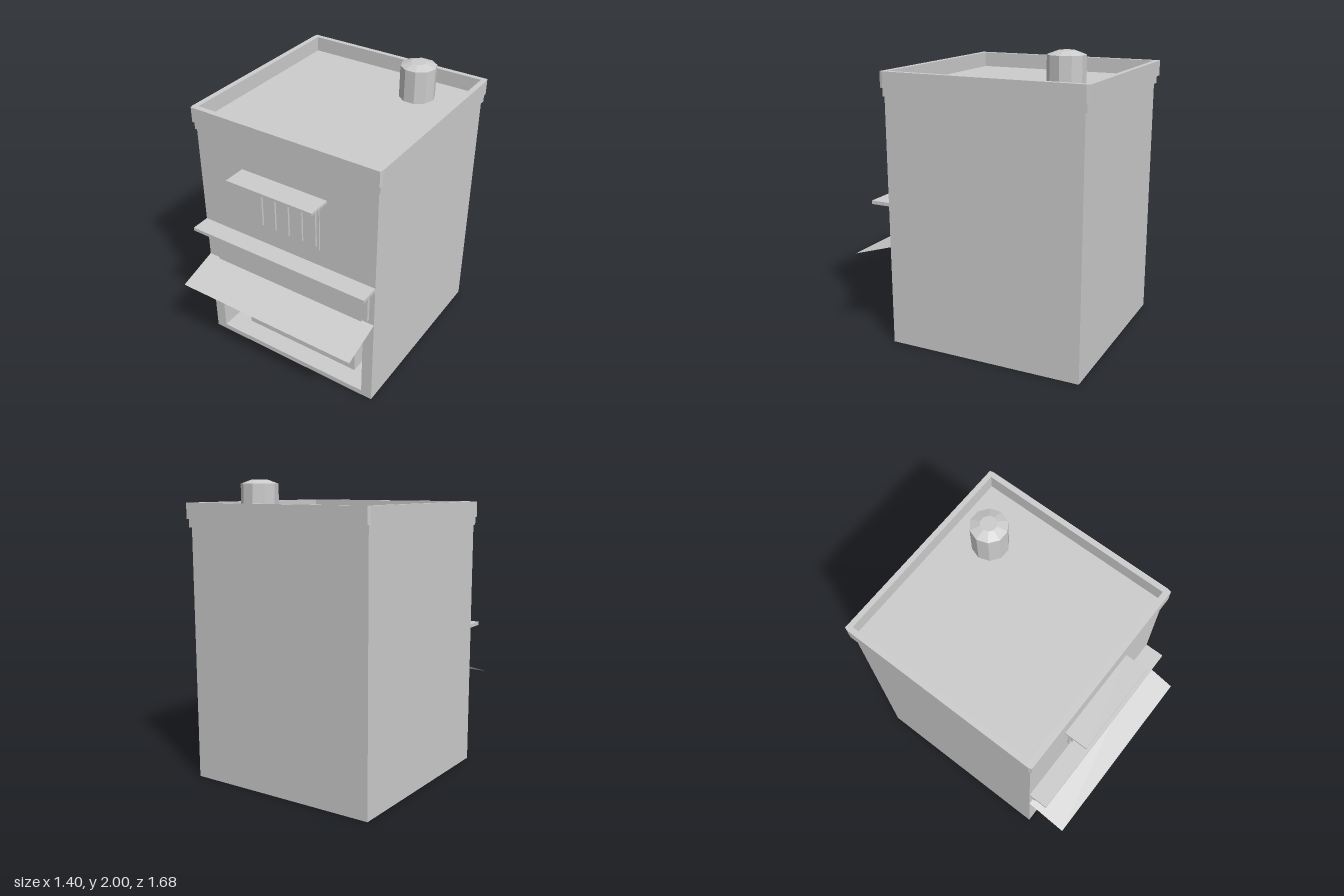
import * as THREE from 'three';

const plaster = new THREE.MeshStandardMaterial({ color: 0xcccccc });
plaster.name = 'light grey';
const sheet = plaster.clone();
sheet.side = THREE.DoubleSide;

export function createModel() {
  const model = new THREE.Group();
  model.name = 'shopBuilding';

  const add = (name, geometry, material = plaster, parent = model) => {
    const mesh = new THREE.Mesh(geometry, material);
    mesh.name = name;
    parent.add(mesh);
    return mesh;
  };
  // Box given by its limits on each axis
  const block = (name, x0, x1, y0, y1, z0, z1, parent = model) => {
    const g = new THREE.BoxGeometry(x1 - x0, y1 - y0, z1 - z0);
    g.translate((x0 + x1) / 2, (y0 + y1) / 2, (z0 + z1) / 2);
    return add(name, g, plaster, parent);
  };
  const rectPath = (x0, x1, y0, y1, Kind = THREE.Shape) => new Kind([
    [x0, y0], [x1, y0], [x1, y1], [x0, y1],
  ].map(([x, y]) => new THREE.Vector2(x, y)));

  // Walls: a solid rear part and a front part hollowed out by the shop opening
  const BACK = 0, FRONT = 0.545;
  block('rearBody', -0.68, 0.68, 0, 1.72, -0.81, BACK);
  const front = rectPath(-0.68, 0.68, 0, 1.72);
  front.holes.push(rectPath(-0.6, 0.6, 0.04, 0.63, THREE.Path));
  const frontBody = new THREE.ExtrudeGeometry(front, { depth: FRONT - BACK, bevelEnabled: false });
  add('frontBody', frontBody.translate(0, 0, BACK));

  // Cornice, closed on top as the roof, and parapet ring with clipped corners
  block('cornice', -0.69, 0.69, 1.695, 1.75, -0.825, 0.552);
  const [px, zb, zf] = [0.7, 0.842, -0.567]; // shape y becomes -z
  const rim = new THREE.Shape([
    [-px, zf + 0.022], [-px + 0.007, zf], [px - 0.007, zf], [px, zf + 0.022],
    [px, zb - 0.022], [px - 0.007, zb], [-px + 0.007, zb], [-px, zb - 0.022],
  ].map(([x, y]) => new THREE.Vector2(x, y)));
  rim.holes.push(rectPath(-0.662, 0.662, -0.527, 0.807, THREE.Path));
  const parapet = new THREE.ExtrudeGeometry(rim, { depth: 0.105, bevelEnabled: false });
  add('parapet', parapet.rotateX(-Math.PI / 2).translate(0, 1.75, 0));

  // Ten-sided chimney with a sloped cap
  const chimney = new THREE.Group();
  chimney.name = 'chimney';
  chimney.position.set(0.323, 0, -0.547);
  chimney.rotation.y = Math.PI / 2;
  model.add(chimney);
  const tube = (name, top, bottom, y0, y1) => {
    const g = new THREE.CylinderGeometry(top, bottom, y1 - y0, 10).toNonIndexed();
    g.computeVertexNormals();
    add(name, g.translate(0, (y0 + y1) / 2, 0), plaster, chimney);
  };
  tube('chimneyPipe', 0.122, 0.122, 1.74, 1.975);
  tube('chimneyCap', 0.055, 0.122, 1.975, 2);

  // Shuttered window under a small hood
  block('windowFrame', -0.273, 0.27, 1.12, 1.47, FRONT, 0.555);
  for (let i = -2; i <= 2; i++) {
    const x = i * 0.104;
    block('windowSlat', x - 0.045, x + 0.045, 1.148, 1.445, 0.555, 0.57);
  }
  block('windowHood', -0.325, 0.325, 1.495, 1.512, FRONT, 0.706);

  // Ledge, sign board and its backing
  block('ledge', -0.68, 0.68, 0.968, 0.992, FRONT, 0.68);
  block('signBoard', -0.645, 0.642, 0.715, 0.902, FRONT, 0.567);
  block('signBacking', -0.592, 0.592, 0.63, 0.715, FRONT, 0.555);

  // Sloping sheet awning above the opening
  const awning = new THREE.PlaneGeometry(1.36, Math.hypot(0.29, 0.09));
  awning.rotateX(-Math.PI / 2 + Math.atan2(0.09, 0.29));
  add('awning', awning.translate(0, 0.64, 0.69), sheet);

  // Counter and shelves inside the shop
  block('counter', -0.465, 0.46, 0.04, 0.262, 0.2, 0.41);
  block('lowerShelf', -0.6, 0.6, 0.195, 0.21, BACK, 0.18);
  block('upperShelf', -0.6, 0.6, 0.393, 0.407, BACK, 0.18);

  // Goods as [left, right, height] on each shelf
  const goods = new THREE.Group();
  goods.name = 'goods';
  model.add(goods);
  const stock = (y, rows) => rows.forEach(([x0, x1, h], i) =>
    block('shelfItem', x0, x1, y, y + h, 0.04, 0.1 + (i % 3) * 0.02, goods));
  stock(0.407, [
    [-0.6, -0.515, 0.08], [-0.505, -0.46, 0.1], [-0.452, -0.345, 0.08], [-0.33, -0.262, 0.08],
    [-0.248, -0.19, 0.095], [-0.14, -0.04, 0.11], [-0.02, 0.035, 0.065], [0.047, 0.13, 0.072],
    [0.14, 0.205, 0.05], [0.21, 0.27, 0.095], [0.28, 0.37, 0.13], [0.385, 0.435, 0.1],
    [0.44, 0.5, 0.11], [0.51, 0.6, 0.08],
  ]);
  stock(0.21, [
    [-0.6, -0.515, 0.085], [-0.505, -0.46, 0.1], [-0.45, -0.395, 0.07], [-0.385, -0.31, 0.05],
    [-0.3, -0.25, 0.075], [-0.24, -0.175, 0.115], [-0.165, -0.095, 0.07], [-0.085, -0.03, 0.125],
    [0.04, 0.095, 0.065], [0.115, 0.165, 0.085], [0.19, 0.245, 0.07], [0.26, 0.32, 0.075],
    [0.33, 0.385, 0.135], [0.395, 0.48, 0.115], [0.49, 0.51, 0.08], [0.515, 0.6, 0.085],
  ]);

  // Evenly spaced packets along the top of the back wall
  for (let i = 0; i < 10; i++) {
    const x = (i - 4.5) * 0.114;
    block('hangingPacket', x - 0.033, x + 0.033, 0.505, 0.587, BACK, 0.035, goods);
  }
  return model;
}
